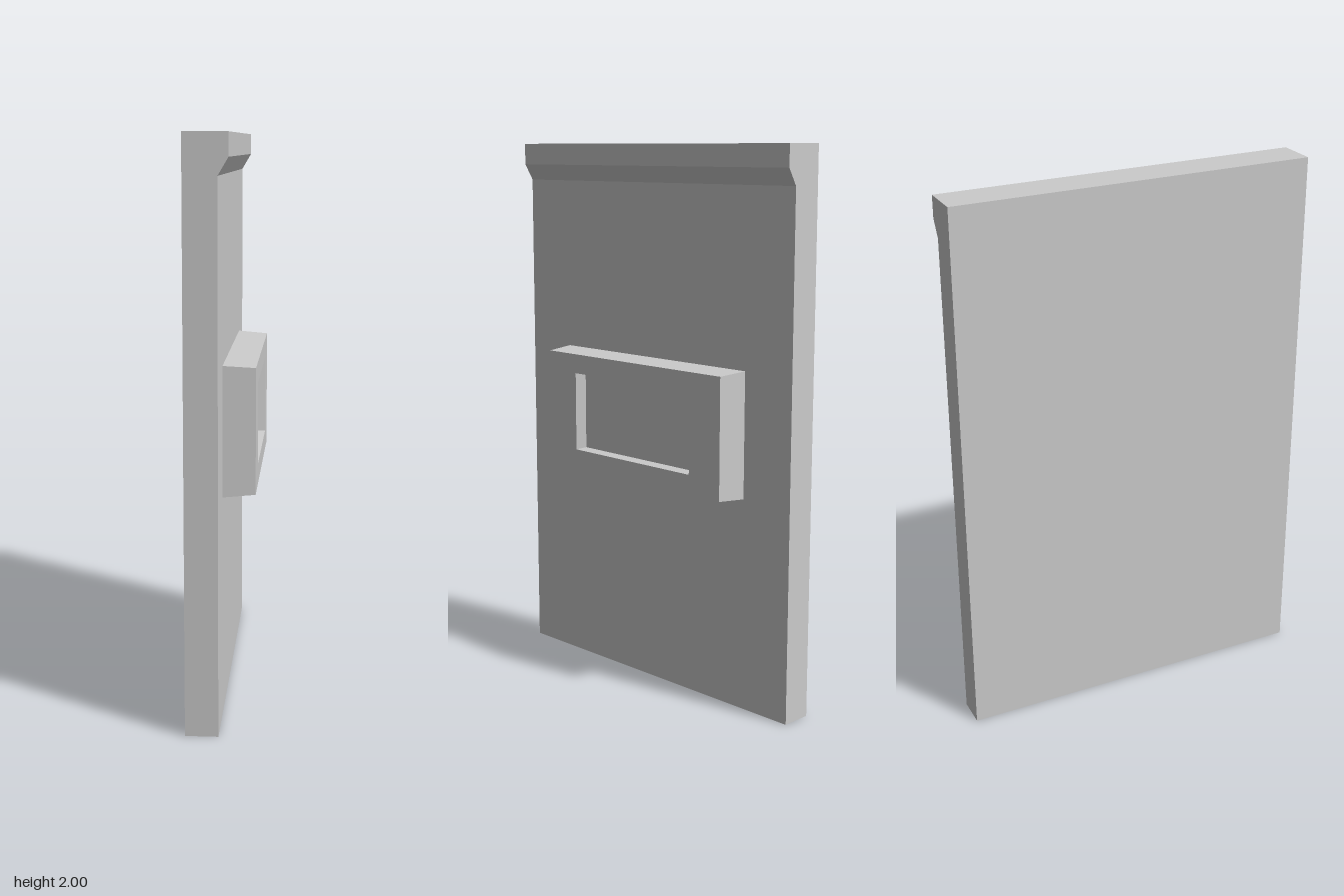
import * as THREE from 'three';

const material = new THREE.MeshStandardMaterial({ color: 0xcccccc, flatShading: true });

// Joins rectangular rings stacked along x and closes the last one.
// Each ring is [x, half width in z, half height in y].
function loftRectangles(rings) {
  const corners = rings.map(([x, w, h]) => [[x, -h, w], [x, -h, -w], [x, h, -w], [x, h, w]]);
  const positions = [];
  const quad = (a, b, c, d) => positions.push(...a, ...b, ...c, ...a, ...c, ...d);
  for (let i = 0; i < corners.length - 1; i++) {
    for (let j = 0; j < 4; j++) {
      const k = (j + 1) % 4;
      quad(corners[i][j], corners[i][k], corners[i + 1][k], corners[i + 1][j]);
    }
  }
  quad(...corners[corners.length - 1]);
  const geometry = new THREE.BufferGeometry();
  geometry.setAttribute('position', new THREE.Float32BufferAttribute(positions, 3));
  geometry.computeVertexNormals();
  return geometry;
}

export function createModel() {
  const group = new THREE.Group();

  // Slab with a bevelled lip along the top edge, extruded across z
  const width = 1.333;
  const profile = new THREE.Shape([
    [-0.113, 0], [0, 0], [0, 1.863], [0.035, 1.922], [0.035, 2], [-0.113, 2],
  ].map(([x, y]) => new THREE.Vector2(x, y)));
  const slab = new THREE.ExtrudeGeometry(profile, { depth: width, bevelEnabled: false });
  slab.translate(0, 0, -width / 2);
  const panel = new THREE.Mesh(slab, material);
  panel.name = 'panel';
  group.add(panel);

  // Tapered raised block with a shallow sloped recess
  const block = new THREE.Mesh(loftRectangles([
    [0, 0.456, 0.227],
    [0.112, 0.443, 0.219],
    [0.112, 0.297, 0.147],
    [0.074, 0.283, 0.142],
  ]), material);
  block.name = 'recessedBlock';
  block.position.y = 1.003;
  group.add(block);

  return group;
}
